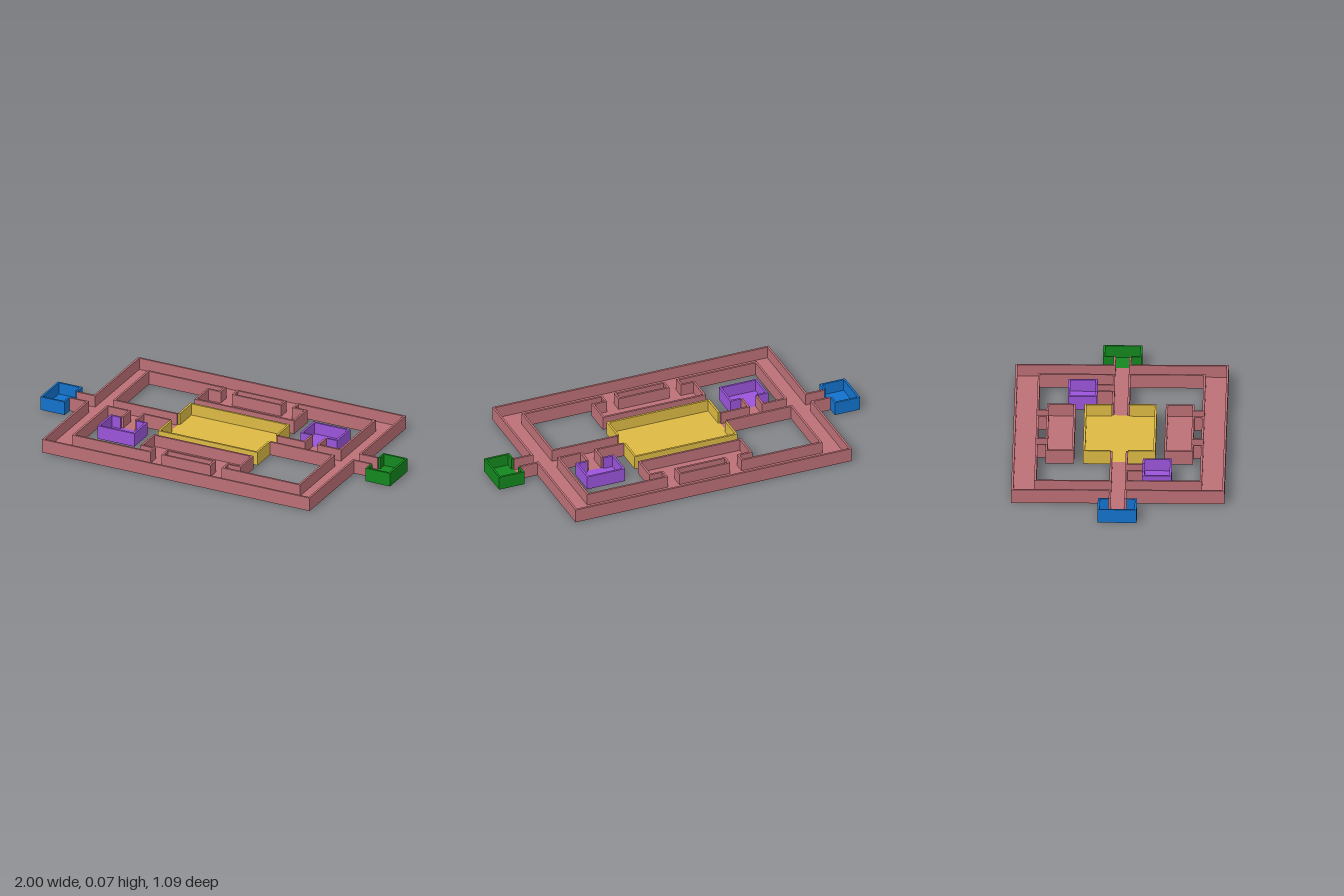
import * as THREE from 'three';

const HEIGHT = 0.073, FLOOR = 0.01, WALL = 0.011;

const paint = (color) => new THREE.MeshStandardMaterial({ color });
const PINK = paint(0xbc7076), GOLD = paint(0xddba44), PURPLE = paint(0x9b55dc);
const BLUE = paint(0x1273cd), GREEN = paint(0x14871e);

// plan points are [x, z]; half a turn maps each half of the plan onto the other
const turn = (pts) => pts.map(([x, z]) => [-x, -z]);
const toVec = ([x, z]) => new THREE.Vector2(x, -z);

// extrude a plan outline upwards from y0 to y1
function slab(name, pts, holes, y0, y1, material) {
  const shape = new THREE.Shape(pts.map(toVec));
  shape.holes = holes.map((h) => new THREE.Path(h.map(toVec)));
  const geo = new THREE.ExtrudeGeometry(shape, { depth: y1 - y0, bevelEnabled: false });
  geo.rotateX(-Math.PI / 2).translate(0, y0, 0);
  const mesh = new THREE.Mesh(geo, material);
  mesh.name = name;
  return mesh;
}

// thin wall along a square-cornered path, thickened to the inner side of the room
function wall(name, pts, material) {
  const normals = pts.slice(1).map(([x, z], i) => [
    Math.sign(z - pts[i][1]), -Math.sign(x - pts[i][0])]);
  const inner = pts.map(([x, z], i) => {
    const a = normals[i - 1] || [0, 0], b = normals[i] || [0, 0];
    return [x + (a[0] + b[0]) * WALL, z + (a[1] + b[1]) * WALL];
  });
  return slab(name, [...pts, ...inner.reverse()], [], FLOOR, HEIGHT, material);
}

const rect = (x0, x1, z0, z1) => [[x0, z0], [x1, z0], [x1, z1], [x0, z1]];

export function createModel() {
  const model = new THREE.Group();

  // front half of the corridor plan
  const outer = [[-0.86, 0.045], [-0.765, 0.045], [-0.765, 0.544], [0.765, 0.544],
    [0.765, 0.045], [0.86, 0.045]];
  const courtyard = [[0.285, 0.045], [0.64, 0.045], [0.64, 0.417], [0.215, 0.417],
    [0.215, 0.377], [0.285, 0.377], [0.285, 0.23], [-0.285, 0.23], [-0.285, 0.377],
    [-0.215, 0.377], [-0.215, 0.417], [-0.64, 0.417], [-0.64, 0.045], [-0.525, 0.045],
    [-0.525, 0.122]];
  const doorway = [[-0.435, 0.122], [-0.435, 0.045], [-0.285, 0.045]];
  const pocket = [[0, 0.377], [0.13, 0.377], [0.13, 0.417], [-0.13, 0.417],
    [-0.13, 0.377], [0, 0.377]];

  // corridor floor
  const opening = [...courtyard, ...doorway];
  const pocketHole = pocket.slice(1, -1);
  model.add(slab('corridorFloor', [...outer, ...turn(outer)],
    [[...opening, ...turn(opening)], pocketHole, turn(pocketHole)], 0, FLOOR, PINK));

  // central room floor
  model.add(slab('centralFloor', rect(-0.285, 0.285, -0.185, 0.185), [], 0, FLOOR, GOLD));

  // everything that repeats under half a turn
  for (const [side, place, endMaterial] of [
    ['front', (p) => p, BLUE], ['back', turn, GREEN]]) {
    const half = new THREE.Group();
    half.name = side + 'Half';
    half.add(
      wall('outerWall', place(outer), PINK),
      wall('courtyardWall', place(courtyard), PINK),
      wall('doorwayWall', place(doorway), PINK),
      wall('pocketWall', place(pocket), PINK),
      wall('centralWall', place([[-0.285, 0.045], [-0.285, 0.185], [0.285, 0.185],
        [0.285, 0.045]]), GOLD),
      // small side room
      slab('smallRoomFloor', place(rect(-0.585, -0.375, 0.122, 0.272)), [], 0, FLOOR, PURPLE),
      wall('smallRoomWall', place([[-0.525, 0.122], [-0.585, 0.122], [-0.585, 0.272],
        [-0.375, 0.272], [-0.375, 0.122], [-0.435, 0.122]]), PURPLE),
      // end room
      slab('endRoomFloor', place(rect(-1, -0.86, -0.1, 0.1)), [], 0, FLOOR, endMaterial),
      wall('endRoomWall', place([[-0.86, -0.045], [-0.86, -0.1], [-1, -0.1], [-1, 0.1],
        [-0.86, 0.1], [-0.86, 0.045]]), endMaterial),
    );
    model.add(half);
  }
  return model;
}
